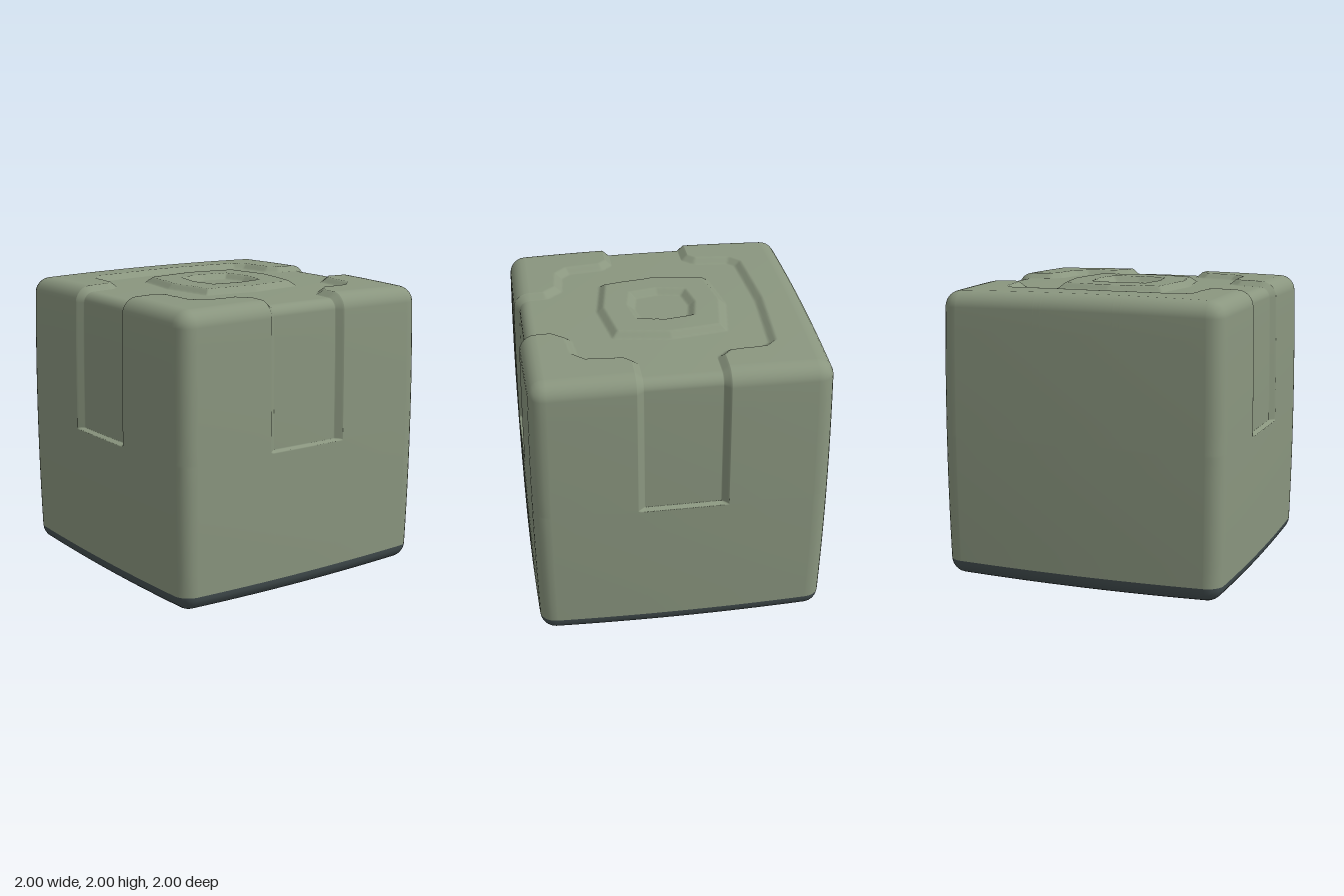
import * as THREE from 'three';
import { mergeVertices } from 'three/addons/utils/BufferGeometryUtils.js';

const HALF = 0.97, R = 0.1, INNER = HALF - R; // rounded cube
const DEPTH = 0.038, WALL = 0.045;            // recess depth and slope width

// Outline of the recessed panel on the top, with arms running over three edges
const halfPanel = [
  [1.5, -0.3], [0.77, -0.3], [0.69, -0.37], [0.67, -0.58], [0.59, -0.66], [0.35, -0.68], [0.3, -0.73], [0.3, -1.5],
  [-0.3, -1.5], [-0.3, -0.73], [-0.35, -0.68], [-0.59, -0.66], [-0.66, -0.59], [-0.69, 0],
];
const panel = [...halfPanel, ...halfPanel.slice(0, -1).reverse().map(([x, z]) => [x, -z])];
const octagon = (r, d) => [[r, 0], [d, d], [0, r], [-d, d], [-r, 0], [-d, -d], [0, -r], [d, -d]];
const boss = octagon(0.44, 0.38), well = octagon(0.232, 0.195);

// Distance inside a polygon (negative outside)
function inside(poly, x, z) {
  let best = Infinity, within = false;
  poly.forEach(([ax, az], i) => {
    const [bx, bz] = poly[(i + 1) % poly.length];
    const dx = bx - ax, dz = bz - az;
    const t = THREE.MathUtils.clamp(((x - ax) * dx + (z - az) * dz) / (dx * dx + dz * dz), 0, 1);
    best = Math.min(best, Math.hypot(x - ax - t * dx, z - az - t * dz));
    if ((az > z) !== (bz > z) && x < ax + (z - az) * dx / dz) within = !within;
  });
  return within ? best : -best;
}
const slope = (d) => THREE.MathUtils.clamp(d / WALL, 0, 1);

// Recess: panel and side channels, minus the raised octagon, plus its central well
function recess(x, y, z) {
  if (y < 0.002) return 0;
  let k = slope(inside(panel, x, z));
  if (k > 0 && y > INNER) {
    k -= slope(inside(boss, x, z));
    k += slope(inside(well, x, z));
  }
  return k * DEPTH;
}

// Cube point -> rounded, recessed, gently bulging surface
function surface(c) {
  const core = c.map((v) => THREE.MathUtils.clamp(v, -INNER, INNER));
  const n = new THREE.Vector3(...c.map((v, i) => v - core[i])).normalize();
  const p = n.clone().multiplyScalar(R).add(new THREE.Vector3(...core));
  const q = p.toArray();
  const out = q.map((v, i) => v + 0.033 * v ** 3 * (1 - (q[(i + 1) % 3] ** 2 + q[(i + 2) % 3] ** 2) / 2));
  return new THREE.Vector3(...out).addScaledVector(n, -recess(...q));
}

// Grid lines along an axis, including those that follow the rounded edge
const bends = [0, 15, 30, 45].map((a) => INNER + R * Math.tan(THREE.MathUtils.degToRad(a)));
function makeLines(step, extra = []) {
  const list = [...extra, ...bends, ...bends.map((b) => -b)];
  const n = Math.round(2 * INNER / step);
  for (let i = 1; i < n; i++) list.push(-INNER + 2 * INNER * i / n);
  return [...new Set(list.map((v) => +v.toFixed(5)))].sort((a, b) => a - b);
}

// Mesh from cube faces [axis, sign], gridded by the lines of each axis
function shell(name, faces, lines, material) {
  const pos = [], idx = [];
  for (const [a, s] of faces) {
    const u = (a + 1) % 3, v = (a + 2) % 3, U = lines[u], V = lines[v];
    const start = pos.length / 3, w = V.length;
    for (const cu of U) for (const cv of V) {
      const c = [0, 0, 0];
      c[a] = s * HALF; c[u] = cu; c[v] = cv;
      const p = surface(c);
      pos.push(p.x, p.y + 1, p.z);
    }
    for (let i = 0; i < U.length - 1; i++) for (let j = 0; j < w - 1; j++) {
      const k = start + i * w + j, A = k, B = k + w, C = k + w + 1, D = k + 1;
      if (s > 0) idx.push(A, B, C, A, C, D);
      else idx.push(A, C, B, A, D, C);
    }
  }
  let geo = new THREE.BufferGeometry();
  geo.setAttribute('position', new THREE.Float32BufferAttribute(pos, 3));
  geo.setIndex(idx);
  geo = mergeVertices(geo, 1e-5);
  geo.computeVertexNormals();
  const mesh = new THREE.Mesh(geo, material);
  mesh.name = name;
  return mesh;
}

export function createModel() {
  const green = new THREE.MeshStandardMaterial({ color: 0x8a967f });
  green.name = 'sageGreen';
  const slate = new THREE.MeshStandardMaterial({ color: 0x455052 });
  slate.name = 'darkSlate';

  const sides = [[0, 1], [0, -1], [2, 1], [2, -1]];
  // Fine lines across the panel, with support lines at the channel edges
  const fine = makeLines(0.01, [0.303, 0.255, 0.252, -0.303, -0.255, -0.252]);
  const coarse = makeLines(0.0725);
  // Close lines at mid height make the crisp lower end of each channel
  const height = makeLines(0.145, [-0.008, 0, 0.004, 0.012]);

  const group = new THREE.Group();
  group.name = 'panelledCube';
  group.add(
    shell('body', [[1, 1], ...sides], [fine, height.filter((y) => y >= -INNER - 1e-6), fine], green),
    shell('base', [[1, -1], ...sides], [coarse, height.filter((y) => y <= -INNER + 1e-6), coarse], slate),
  );
  return group;
}
